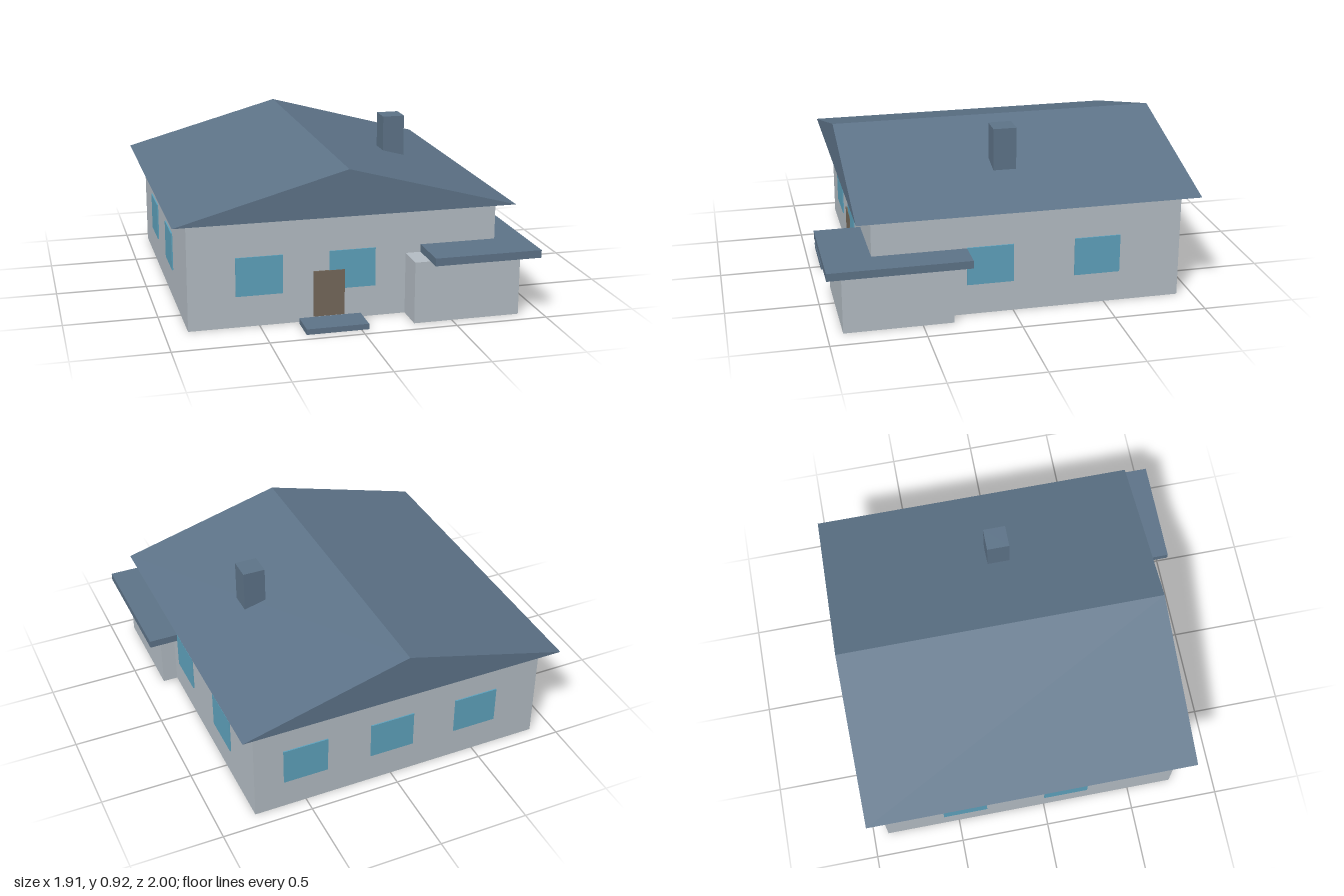
import * as THREE from 'three';

const material = (name, color) => {
  const m = new THREE.MeshStandardMaterial({ color });
  m.name = name;
  return m;
};

export function createModel() {
  const house = new THREE.Group();
  house.name = 'house';
  const wall = material('pale grey wall', 0xb5bec5);
  const slate = material('slate blue', 0x5e7489);
  const glass = material('window blue', 0x5fa3be);
  const wood = material('door brown', 0x75695b);

  const add = (name, geometry, mat) => {
    const mesh = new THREE.Mesh(geometry, mat);
    mesh.name = name;
    house.add(mesh);
    return mesh;
  };
  // Box given by its extents on each axis
  const box = (name, mat, [x0, x1], [y0, y1], [z0, z1]) => {
    const mesh = add(name, new THREE.BoxGeometry(x1 - x0, y1 - y0, z1 - z0), mat);
    mesh.position.set((x0 + x1) / 2, (y0 + y1) / 2, (z0 + z1) / 2);
    return mesh;
  };

  // Main block and side annex
  box('mainWalls', wall, [-0.877, 0.79], [0, 0.585], [-0.917, 0.75]);
  box('annexWalls', wall, [0.292, 0.873], [0, 0.335], [0.335, 0.917]);
  box('annexRoof', slate, [0.375, 0.957], [0.335, 0.377], [0.25, 1]);

  // Gable roof with its ridge running front to back
  const gable = new THREE.Shape([
    new THREE.Vector2(-0.957, 0.585),
    new THREE.Vector2(0.873, 0.585),
    new THREE.Vector2(-0.042, 0.835),
  ]);
  const roof = new THREE.ExtrudeGeometry(gable, { depth: 1.833, bevelEnabled: false });
  add('mainRoof', roof, slate).position.z = -1;
  box('chimney', slate, [0.375, 0.498], [0.62, 0.918], [-0.083, 0.042]);

  // Door and the step in front of it
  box('door', wood, [-0.21, -0.043], [0.025, 0.275], [0.749, 0.758]);
  box('doorStep', slate, [-0.293, 0.04], [0, 0.03], [0.773, 0.94]);

  // Windows: thin plates on each wall
  const sill = [0.17, 0.38];
  const span = (c) => [c - 0.125, c + 0.125];
  for (const x of [-0.5, 0]) box('frontWindow', glass, span(x), sill, [0.748, 0.756]);
  for (const x of [-0.5, 0, 0.5]) box('backWindow', glass, span(x), sill, [-0.924, -0.916]);
  for (const z of [-0.457, 0.125]) {
    box('leftWindow', glass, [0.789, 0.797], sill, span(z));
    box('rightWindow', glass, [-0.884, -0.876], sill, span(z));
  }
  return house;
}
